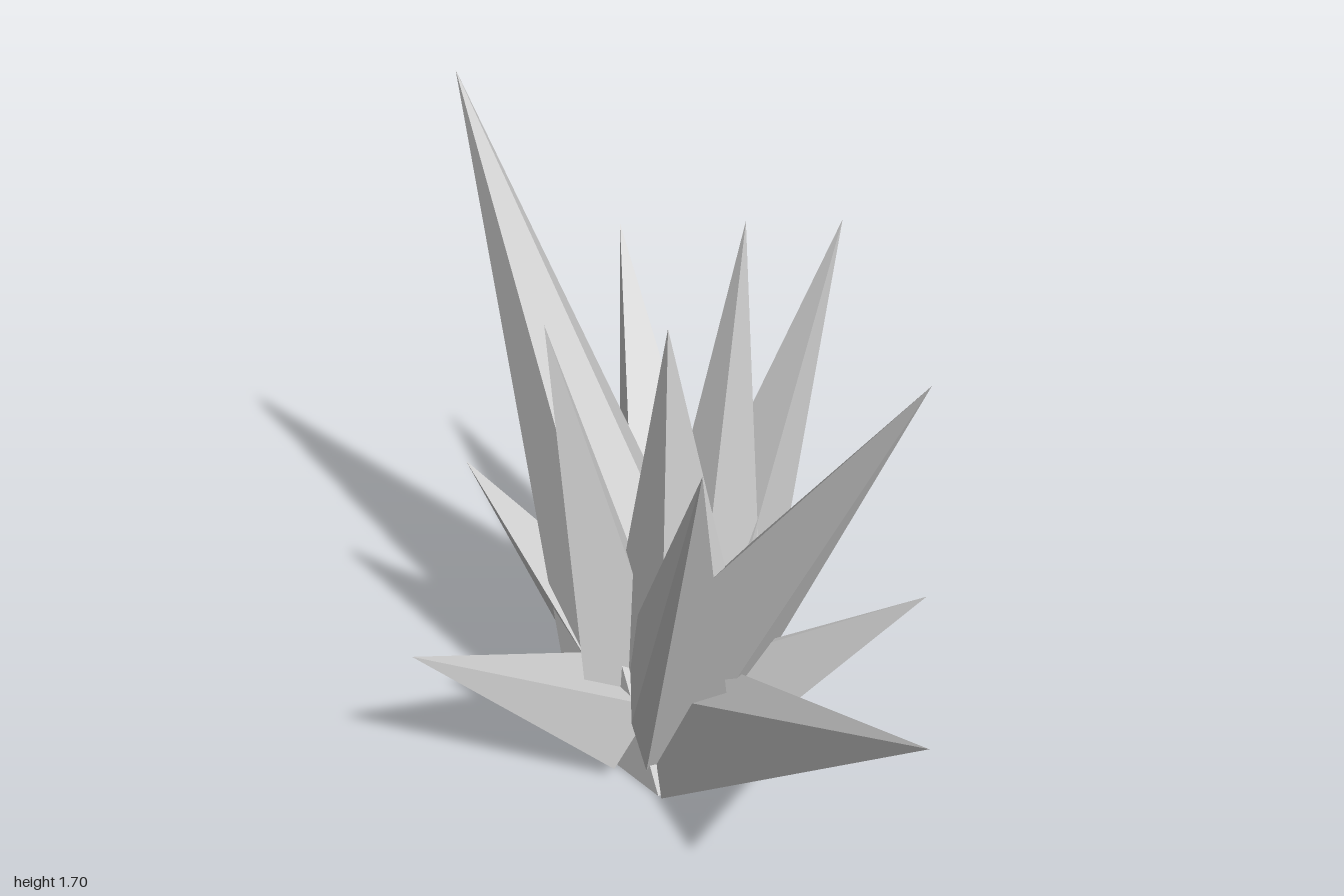
import * as THREE from 'three';
import { ConvexGeometry } from 'three/addons/geometries/ConvexGeometry.js';

const material = new THREE.MeshStandardMaterial({ color: 0xcccccc, flatShading: true, side: THREE.DoubleSide });
const UP = new THREE.Vector3(0, 1, 0);

// each crystal: tip, root centre, root size [lower half width, upper half width, half height],
// and for some a heel where the crystal narrows down to the ground
const crystals = {
  frontCrystal: [[0.09, 0.91, 1], [0.055, 0.11, -0.025], [0.165, 0.12, 0.14]],
  backCrystal: [[0.27, 1.14, -1], [0.14, 0.26, -0.36], [0.14, 0.14, 0.14], [0.28, 0.05, -0.33]],
  smallBackCrystal: [[-0.33, 0.69, -0.71], [-0.05, 0.1, -0.33], [0.02, 0.17, 0.1]],
  lowRightCrystal: [[-0.67, 0.485, -0.23], [-0.12, 0.13, -0.18], [0.13, 0.12, 0.11]],
  lowLeftCrystal: [[0.605, 0.545, 0.19], [0.2, 0.14, -0.12], [0.11, 0.01, 0.11], [0.3, 0.04, -0.21]],
  tallLeftCrystal: [[0.665, 1.33, -0.445], [0.21, 0.25, -0.26], [0.1, 0.13, 0.13], [0.3, 0.05, -0.21]],
  frontLeftCrystal: [[0.46, 1.33, 0.34], [0.17, 0.3, -0.16], [0.13, 0.15, 0.13], [0.3, 0.05, -0.2]],
  frontRightCrystal: [[-0.17, 1.33, 0.435], [0, 0.3, -0.07], [0.13, 0.11, 0.13], [-0.12, 0.05, 0]],
  upperLeftCrystal: [[0.32, 1.46, -0.33], [0.14, 0.25, -0.25], [0.16, 0.1, 0.11], [0.27, 0.05, -0.27]],
  upperRightCrystal: [[-0.24, 1.33, -0.29], [-0.07, 0.2, -0.23], [0.13, 0.1, 0.12], [-0.18, 0.05, -0.25]],
  centreCrystal: [[0.02, 1.33, -0.145], [0.04, 0.28, -0.15], [0.12, 0.12, 0.15]],
};

// pyramid whose four-cornered root lies square to the line from root to tip
function crystalGeometry([tipPoint, rootPoint, [lower, upper, height], heel]) {
  const tip = new THREE.Vector3(...tipPoint);
  const root = new THREE.Vector3(...rootPoint);
  const axis = tip.clone().sub(root).normalize();
  const side = axis.clone().cross(UP).normalize();
  const rise = side.clone().cross(axis);
  const corner = (across, along) => root.clone().addScaledVector(side, across).addScaledVector(rise, along);
  const points = [
    tip, corner(-lower, -height), corner(lower, -height), corner(upper, height), corner(-upper, height),
  ];
  if (heel) points.push(new THREE.Vector3(...heel));
  return new ConvexGeometry(points);
}

export function createModel() {
  const group = new THREE.Group();
  const add = (name, geometry) => {
    const mesh = new THREE.Mesh(geometry, material);
    mesh.name = name;
    group.add(mesh);
    return mesh;
  };

  // pentagonal footprint on the ground, one edge facing the front
  const foot = [];
  for (let i = 0; i < 5; i++) {
    const a = (i * 2 - 1) * Math.PI / 5;
    foot.push(new THREE.Vector3(0.06 + 0.29 * Math.sin(a), 0, -0.18 + 0.29 * Math.cos(a)));
  }

  // main crystal: a leaning pyramid over the whole footprint, open below
  const tip = new THREE.Vector3(-0.185, 1.695, -0.98);
  const main = new THREE.BufferGeometry().setFromPoints(foot.flatMap((p, i) => [p, foot[(i + 1) % 5], tip]));
  main.computeVertexNormals();
  add('mainCrystal', main);

  // surrounding crystals
  for (const [name, spec] of Object.entries(crystals)) add(name, crystalGeometry(spec));

  // underside: flat rim around a shallow pit
  const rim = new THREE.Shape(foot.map((p) => new THREE.Vector2(p.x, p.z)));
  rim.holes.push(new THREE.Path().absarc(0.06, -0.18, 0.2, 0, Math.PI * 2, true));
  add('bottomRim', new THREE.ShapeGeometry(rim, 8).rotateX(Math.PI / 2));
  const pit = add('bottomPit', new THREE.ConeGeometry(0.2, 0.1, 16, 1, true));
  pit.position.set(0.06, 0.05, -0.18);

  return group;
}
